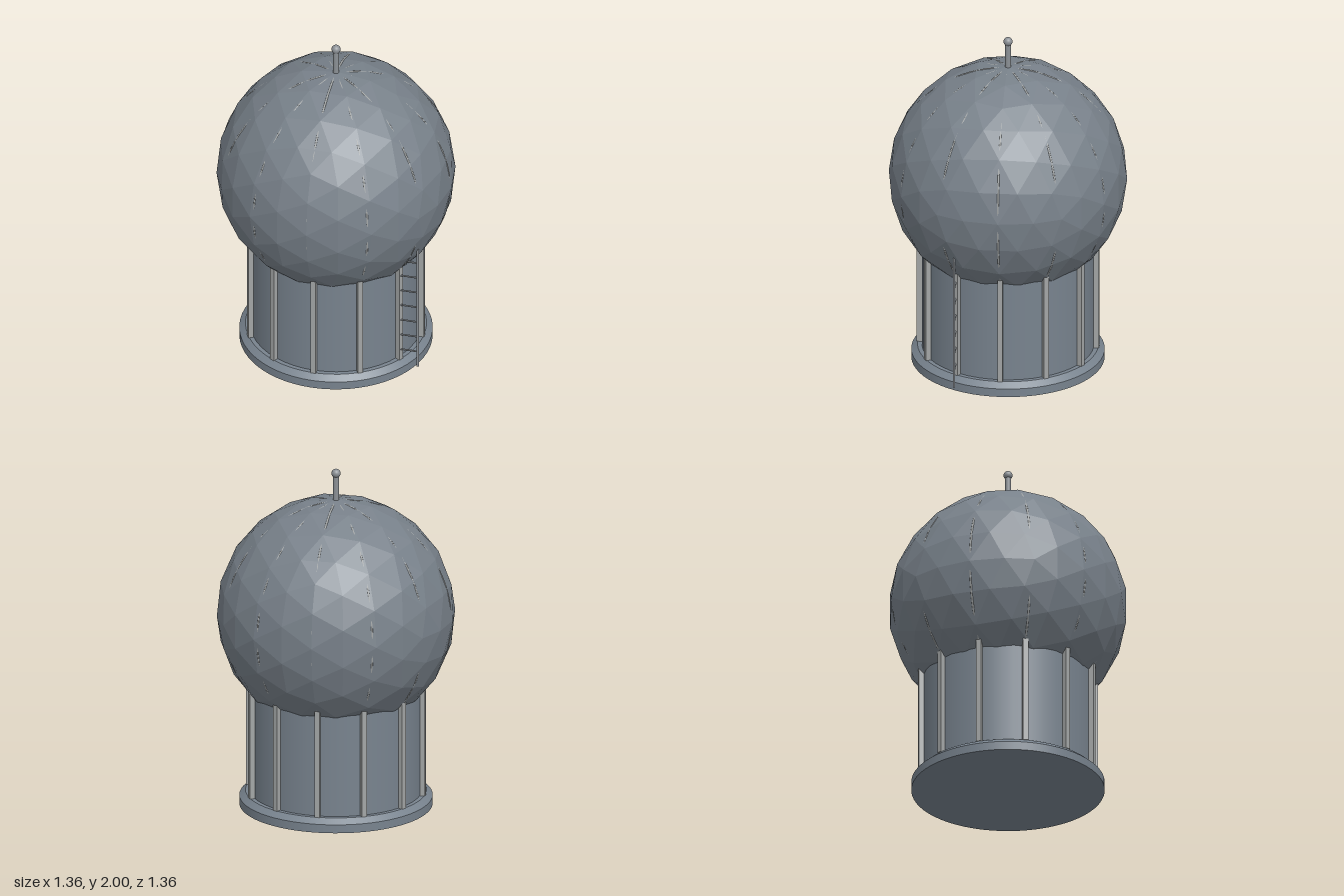
import * as THREE from 'three';

const mat = (name, color, flatShading = false) => {
  const m = new THREE.MeshStandardMaterial({ color, flatShading });
  m.name = name;
  return m;
};

export function createModel() {
  const group = new THREE.Group();
  const panel = mat('domePanelGrey', 0x78818a, true);
  const wall = mat('wallGrey', 0x78838e);
  const trim = mat('trimLightGrey', 0xa3a6a6);
  const steel = mat('steelGrey', 0x8c9196);

  const add = (name, geometry, material, x = 0, y = 0, z = 0, parent = group) => {
    const mesh = new THREE.Mesh(geometry, material);
    mesh.name = name;
    mesh.position.set(x, y, z);
    parent.add(mesh);
    return mesh;
  };
  const subgroup = (name) => {
    const g = new THREE.Group();
    g.name = name;
    group.add(g);
    return g;
  };

  // Foundation slab with a sloped upper edge
  add('baseSlab', new THREE.CylinderGeometry(0.55, 0.55, 0.05, 64), wall, 0, 0.025);
  add('baseBevel', new THREE.CylinderGeometry(0.515, 0.55, 0.03, 64), wall, 0, 0.065);

  // Drum-shaped tower
  add('towerWall', new THREE.CylinderGeometry(0.49, 0.49, 0.66, 48), wall, 0, 0.4);

  // Vertical ribs around the tower
  const ribs = subgroup('wallRibs');
  const ribGeometry = new THREE.BoxGeometry(0.03, 0.64, 0.03);
  for (let i = 0; i < 12; i++) {
    const a = (i * Math.PI) / 6;
    const rib = add('wallRib', ribGeometry, trim, Math.sin(a) * 0.505, 0.4, Math.cos(a) * 0.505, ribs);
    rib.rotation.y = a;
  }

  // Faceted dome
  const domeY = 1.14;
  add('dome', new THREE.IcosahedronGeometry(0.68, 3), panel, 0, domeY);

  // Meridian seams that just break through the facets
  const seams = subgroup('domeSeams');
  const seamGeometry = new THREE.TorusGeometry(0.6665, 0.0063, 8, 96);
  for (let i = 0; i < 6; i++) {
    add('domeSeam', seamGeometry, trim, 0, domeY, 0, seams).rotation.y = (i * Math.PI) / 6;
  }

  // Mast with ball tip
  add('mast', new THREE.CylinderGeometry(0.018, 0.018, 0.18, 16), steel, 0, 1.88);
  add('mastBall', new THREE.SphereGeometry(0.026, 20, 14), steel, 0, 1.974);

  // Ladder standing out from the wall
  const ladder = subgroup('ladder');
  const railGeometry = new THREE.CylinderGeometry(0.007, 0.007, 0.81, 10);
  const rungGeometry = new THREE.CylinderGeometry(0.005, 0.005, 0.11, 8).rotateZ(Math.PI / 2);
  for (const x of [0.435, 0.547]) add('ladderRail', railGeometry, steel, x, 0.455, 0.26, ladder);
  for (let i = 0; i < 7; i++) add('ladderRung', rungGeometry, steel, 0.491, 0.15 + i * 0.102, 0.26, ladder);

  return group;
}
